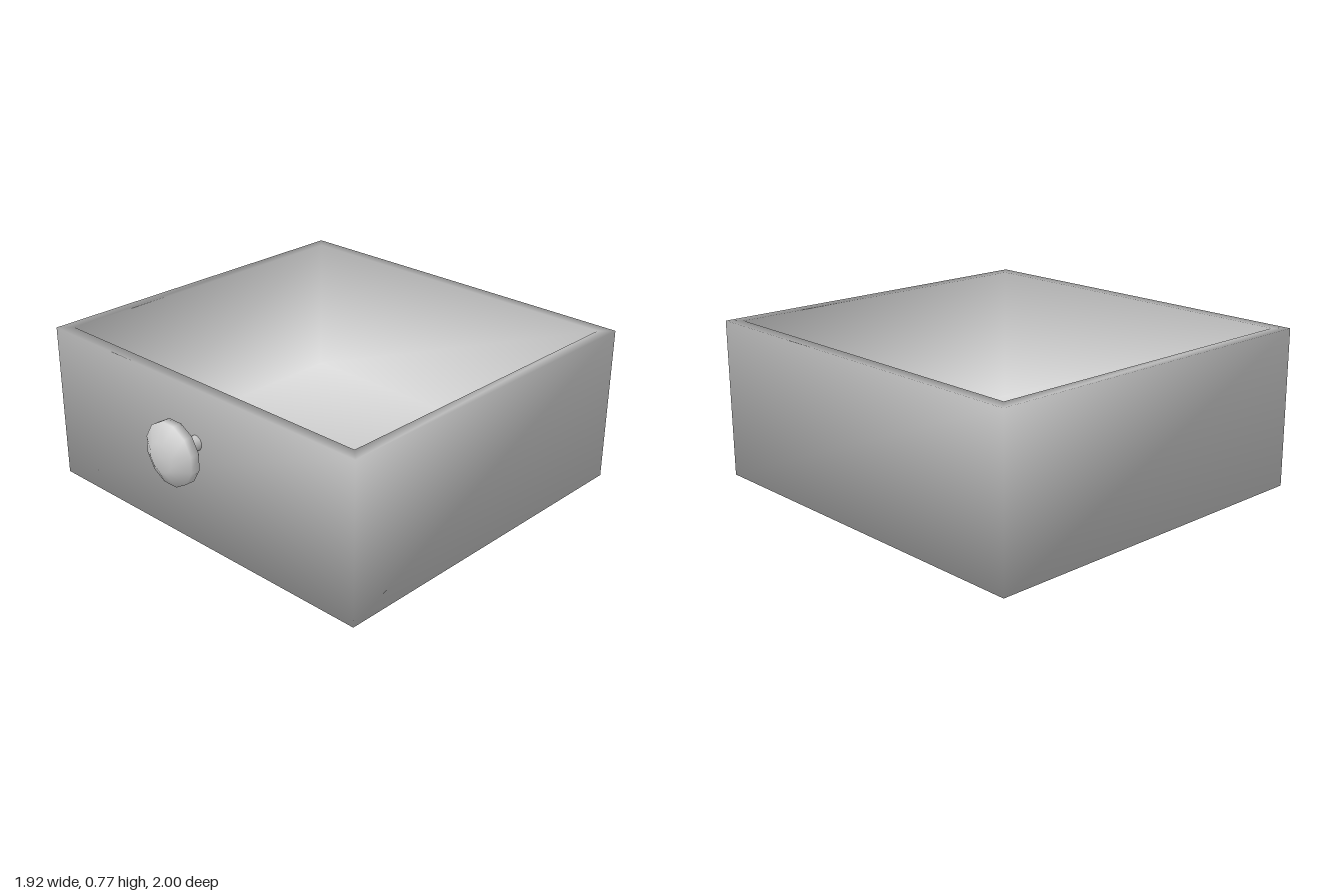
import * as THREE from 'three';

const material = new THREE.MeshStandardMaterial({ color: 0xcccccc });

// Open box from rectangular loops, with normals shared across the corners
function openBox(loops) {
  const positions = [];
  const index = [];
  for (const { x, z0, z1, y } of loops) {
    positions.push(-x, y, z1, x, y, z1, x, y, z0, -x, y, z0);
  }
  const quad = (a, b, c, d) => index.push(a, b, c, a, c, d);
  for (let k = 0; k < loops.length - 1; k++) {
    for (let i = 0; i < 4; i++) {
      const j = (i + 1) % 4;
      quad(k * 4 + i, k * 4 + j, k * 4 + 4 + j, k * 4 + 4 + i);
    }
  }
  const last = (loops.length - 1) * 4;
  quad(3, 2, 1, 0); // underside
  quad(last, last + 1, last + 2, last + 3); // inner floor
  const geometry = new THREE.BufferGeometry();
  geometry.setAttribute('position', new THREE.Float32BufferAttribute(positions, 3));
  geometry.setIndex(index);
  geometry.computeVertexNormals();
  return geometry;
}

// Twelve-sided turned part whose axis points to the front
function turned(name, profile) {
  const points = profile.map(([r, z]) => new THREE.Vector2(r, z));
  const mesh = new THREE.Mesh(new THREE.LatheGeometry(points, 12, Math.PI / 12), material);
  mesh.rotation.x = Math.PI / 2;
  mesh.name = name;
  return mesh;
}

export function createModel() {
  const model = new THREE.Group();
  model.name = 'drawer';

  // Drawer body: outer walls, rim, inner walls and floor
  const outer = { x: 0.96, z0: -1, z1: 0.8 };
  const inner = { x: 0.9, z0: -0.94, z1: 0.74 };
  const body = new THREE.Mesh(openBox([
    { ...outer, y: 0 }, { ...outer, y: 0.77 },
    { ...inner, y: 0.77 }, { ...inner, y: 0.06 },
  ]), material);
  body.name = 'drawerBody';
  model.add(body);

  // Knob on a short stem, slightly off centre
  const handle = new THREE.Group();
  handle.name = 'handle';
  handle.position.set(0.025, 0.51, 0);
  handle.add(
    turned('stem', [[0.036, 0.79], [0.036, 0.87]]),
    turned('knob', [[0, 0.865], [0.045, 0.865], [0.15, 0.91], [0.15, 0.955], [0.07, 1], [0, 1]]),
  );
  model.add(handle);
  return model;
}
